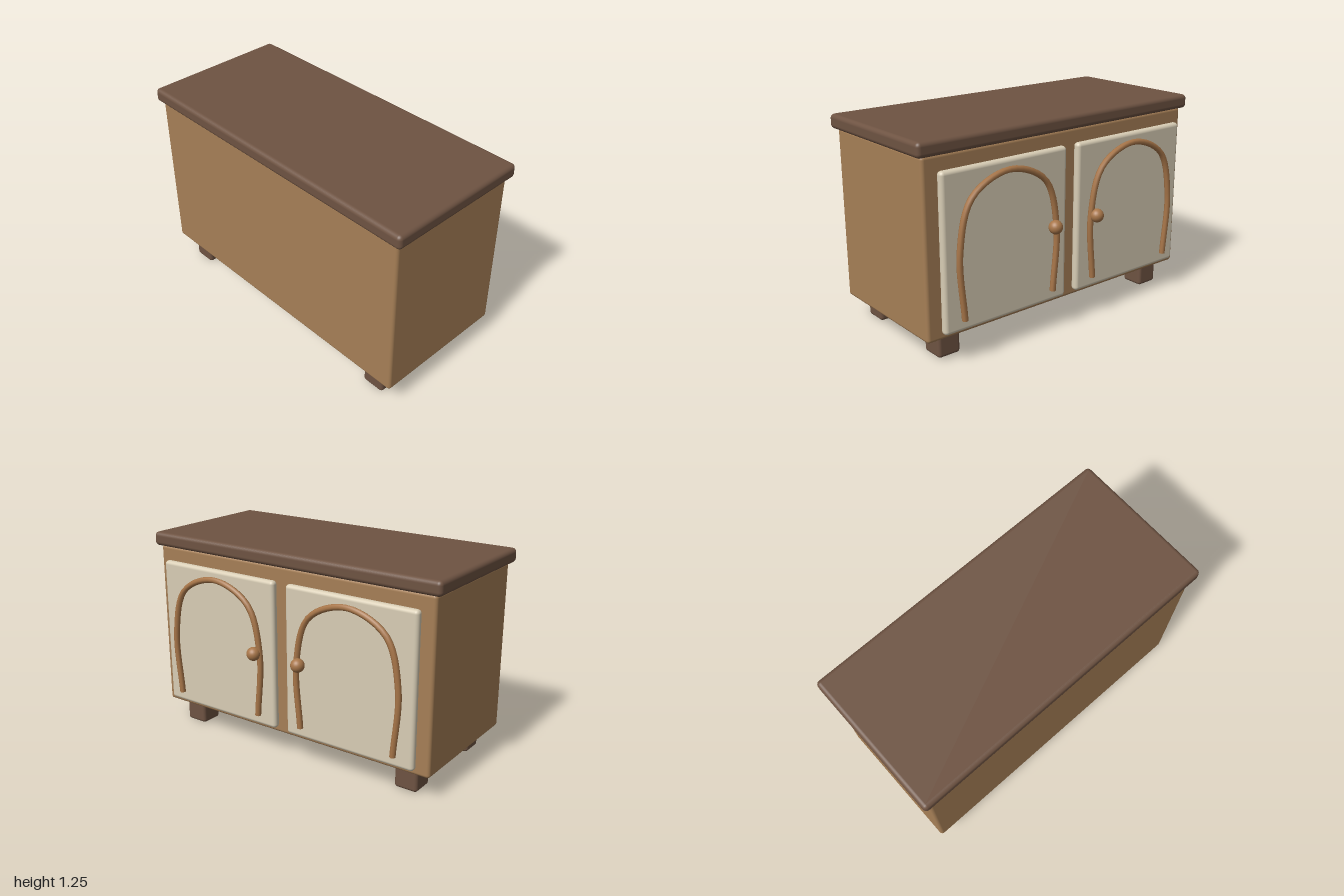
import * as THREE from 'three';
import { RoundedBoxGeometry } from 'three/addons/geometries/RoundedBoxGeometry.js';

const material = (name, color) => {
  const m = new THREE.MeshStandardMaterial({ color });
  m.name = name;
  return m;
};

export function createModel() {
  const wood = material('light wood', 0xa67f56);
  const darkWood = material('dark wood', 0x6e5342);
  const cream = material('cream paint', 0xd8cdb5);
  const trim = material('trim wood', 0xa87649);

  const cabinet = new THREE.Group();
  cabinet.name = 'cabinet';

  const add = (parent, name, geometry, mat, x, y, z) => {
    const mesh = new THREE.Mesh(geometry, mat);
    mesh.name = name;
    mesh.position.set(x, y, z);
    parent.add(mesh);
    return mesh;
  };
  const block = (w, h, d, r) => new RoundedBoxGeometry(w, h, d, 4, r);

  // Carcass and overhanging top
  add(cabinet, 'body', block(1.93, 1.03, 0.86, 0.02), wood, 0, 0.655, 0.06);
  add(cabinet, 'top', block(2, 0.085, 0.91, 0.025), darkWood, 0, 1.208, 0.06);

  // Four block feet
  for (const x of [-0.792, 0.792]) {
    for (const z of [-0.247, 0.365]) {
      add(cabinet, 'foot', block(0.145, 0.15, 0.145, 0.02), darkWood, x, 0.075, z);
    }
  }

  // Doors on the back, each with a raised arch and a knob near the middle
  const tubeRadius = 0.018;
  const arch = new THREE.CatmullRomCurve3([
    [-0.31, 0.255], [-0.333, 0.65], [-0.25, 0.93], [0, 1.036],
    [0.25, 0.93], [0.333, 0.65], [0.31, 0.255],
  ].map(([x, y]) => new THREE.Vector3(x, y, 0)));
  const archGeometry = new THREE.TubeGeometry(arch, 48, tubeRadius, 8, false);

  for (const side of [-1, 1]) {
    const door = new THREE.Group();
    door.name = side > 0 ? 'leftDoor' : 'rightDoor';
    door.position.x = side * 0.467 - 0.003;
    cabinet.add(door);

    add(door, 'doorPanel', block(0.85, 0.905, 0.05, 0.022), cream, 0, 0.638, -0.404);
    add(door, 'archTrim', archGeometry, trim, 0, 0, -0.446);
    for (const x of [-0.31, 0.31]) {
      const cap = add(door, 'archEnd', new THREE.CircleGeometry(tubeRadius, 8), trim, x, 0.255, -0.446);
      cap.rotation.x = Math.PI / 2;
    }
    add(door, 'knob', new THREE.SphereGeometry(0.041, 24, 16), trim, -side * 0.307, 0.65, -0.47);
  }

  return cabinet;
}
